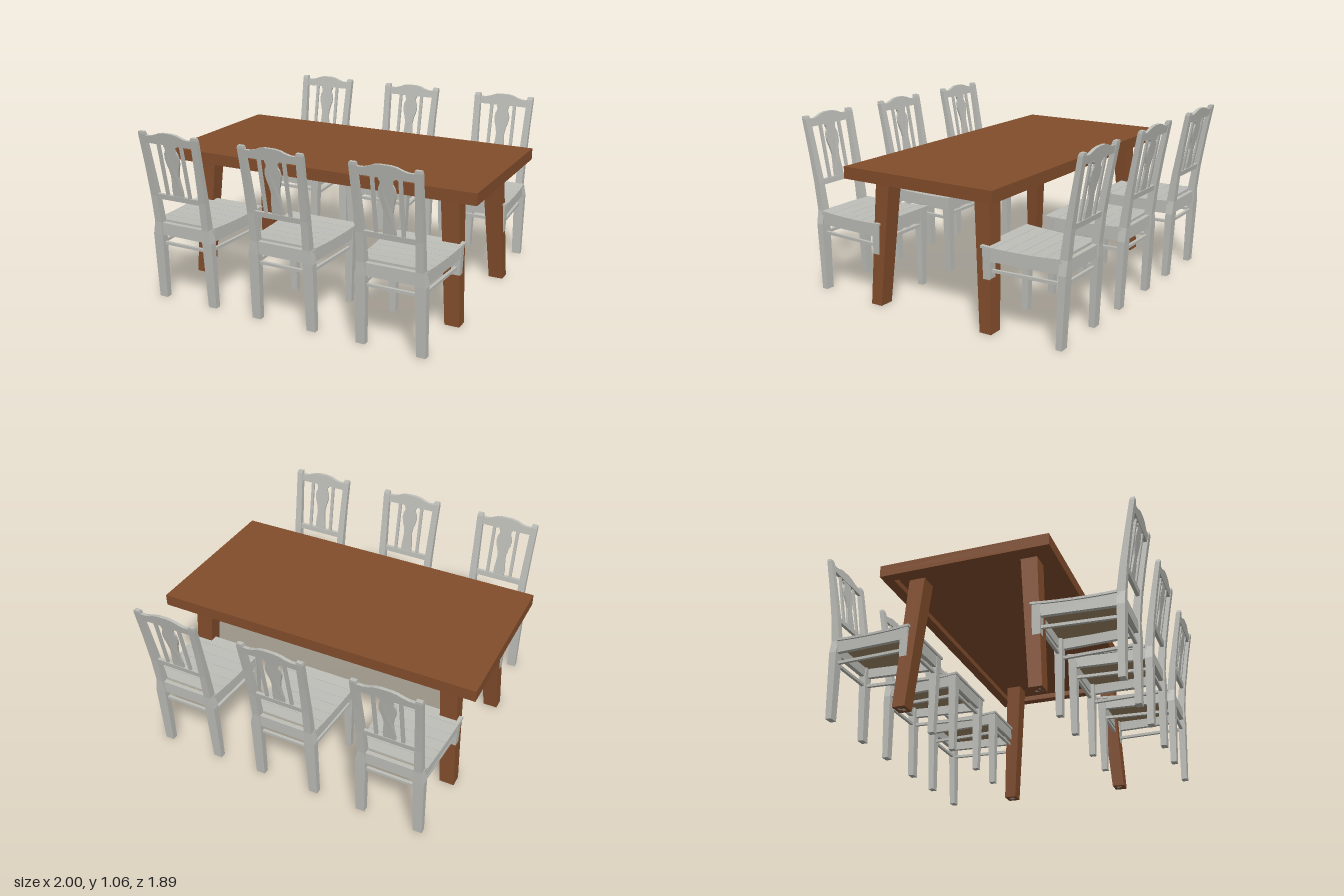
import * as THREE from 'three';

const wood = new THREE.MeshStandardMaterial({ name: 'brown wood', color: 0x824d2b });
const paint = new THREE.MeshStandardMaterial({ name: 'grey paint', color: 0xbdbeb8 });
const tan = new THREE.MeshStandardMaterial({ name: 'tan seat underside', color: 0xa08a66 });

function add(group, name, geometry, material) {
  const mesh = new THREE.Mesh(geometry, material);
  mesh.name = name;
  group.add(mesh);
  return mesh;
}

// Box from x0..x1, y0..y1, z0..z1
function box(x0, x1, y0, y1, z0, z1) {
  return new THREE.BoxGeometry(x1 - x0, y1 - y0, z1 - z0)
    .translate((x0 + x1) / 2, (y0 + y1) / 2, (z0 + z1) / 2);
}

// Square post through sections [y, x0, x1, z0, z1] from bottom to top
function post(sections, side = 1) {
  const n = sections.length - 1;
  const g = new THREE.BoxGeometry(1, 1, 1, 1, n, 1);
  const p = g.attributes.position;
  for (let i = 0; i < p.count; i++) {
    const [y, x0, x1, z0, z1] = sections[Math.round((p.getY(i) + 0.5) * n)];
    const [a, b] = side > 0 ? [x0, x1] : [-x1, -x0];
    p.setXYZ(i, p.getX(i) < 0 ? a : b, y, p.getZ(i) < 0 ? z0 : z1);
  }
  const flat = g.toNonIndexed();
  flat.computeVertexNormals();
  return flat;
}

// Centre line of the raked chair back
const rake = [[0.49, 0.84], [0.66, 0.863], [0.85, 0.895], [1.07, 0.936]];
function backZ(y) {
  let i = 0;
  while (i < rake.length - 2 && y > rake[i + 1][0]) i++;
  const [[y0, z0], [y1, z1]] = [rake[i], rake[i + 1]];
  return z0 + (z1 - z0) * (y - y0) / (y1 - y0);
}

// Flat panel of the chair back, leaned along the rake
function backPanel(shape, depth) {
  const g = new THREE.ExtrudeGeometry(shape, { depth, bevelEnabled: false, curveSegments: 6 });
  const p = g.attributes.position;
  for (let i = 0; i < p.count; i++) p.setZ(i, p.getZ(i) - depth / 2 + backZ(p.getY(i)));
  g.computeVertexNormals();
  return g;
}

function rect(x0, x1, y0, y1) {
  return new THREE.Shape([[x0, y0], [x1, y0], [x1, y1], [x0, y1]].map(a => new THREE.Vector2(...a)));
}

// Shape mirrored about x = 0 from a right-hand outline running upwards
function mirrored(points) {
  const right = points.map(([x, y]) => new THREE.Vector2(x, y));
  const left = points.map(([x, y]) => new THREE.Vector2(-x, y)).reverse();
  return new THREE.Shape([...right, ...left]);
}

const seatHalf = z => 0.232 - 0.027 * (z - 0.355) / 0.465;

function createChair() {
  const chair = new THREE.Group();
  for (const s of [1, -1]) {
    add(chair, 'rearLegAndPost', post([
      [0, 0.152, 0.207, 0.808, 0.844], [0.41, 0.142, 0.207, 0.818, 0.862],
      [0.49, 0.145, 0.19, 0.816, 0.864], [0.66, 0.148, 0.192, 0.842, 0.882],
      [0.85, 0.154, 0.195, 0.878, 0.911], [1.04, 0.16, 0.2, 0.915, 0.944],
      [1.056, 0.163, 0.197, 0.921, 0.945]], s), paint);
    add(chair, 'frontLeg', post([
      [0, 0.168, 0.207, 0.366, 0.402], [0.41, 0.168, 0.222, 0.362, 0.41],
      [0.485, 0.168, 0.224, 0.362, 0.41]], s), paint);
    // Side rails follow the tapering seat
    const rail = (y0, y1, inset, w) => post([y0, y1].map(y => [y, 0, 0, 0.39, 0.83])).applyMatrix4(new THREE.Matrix4())
      && slanted(y0, y1, inset, w, s);
    add(chair, 'sideApron', rail(0.41, 0.485, 0.01, 0.025), paint);
    add(chair, 'sideStretcher', rail(0.345, 0.362, 0.025, 0.018), paint);
    add(chair, 'backSlat', backPanel(rect(s * 0.078 - 0.01, s * 0.078 + 0.01, 0.66, 0.995), 0.012), paint);
  }
  add(chair, 'frontApron', box(-0.18, 0.18, 0.41, 0.485, 0.366, 0.39), paint);
  add(chair, 'backApron', box(-0.16, 0.16, 0.41, 0.485, 0.826, 0.854), paint);
  add(chair, 'frontStretcher', box(-0.18, 0.18, 0.372, 0.39, 0.375, 0.393), paint);
  add(chair, 'backStretcher', box(-0.16, 0.16, 0.345, 0.362, 0.825, 0.843), paint);

  // Seat planks with a shallow dip
  const planks = 6, z0 = 0.355, step = (0.82 - z0) / planks;
  const top = z => 0.488 + 0.008 * Math.pow((z - 0.59) / 0.23, 2);
  for (let i = 0; i < planks; i++) {
    const a = z0 + i * step, b = a + step - (i < planks - 1 ? 0.002 : 0);
    add(chair, 'seatPlank', plank(a, b, top), paint);
  }
  add(chair, 'seatUnderside', box(-0.185, 0.185, 0.468, 0.474, 0.39, 0.826), tan);

  // Back rails and vase-shaped splat
  add(chair, 'crestRail', backPanel(mirrored([[0.17, 0.99], [0.17, 1.035], [0.125, 1.035],
    [0.095, 1.043], [0.065, 1.055], [0.03, 1.061]]), 0.02), paint);
  add(chair, 'lowerBackRail', backPanel(rect(-0.155, 0.155, 0.64, 0.672), 0.02), paint);
  add(chair, 'backSplat', backPanel(mirrored([[0.036, 0.66], [0.036, 0.71], [0.03, 0.76], [0.027, 0.8],
    [0.034, 0.84], [0.045, 0.875], [0.05, 0.905], [0.046, 0.935], [0.036, 0.955], [0.036, 0.968],
    [0.042, 0.98], [0.042, 0.995]]), 0.012), paint);
  return chair;
}

// Bar running along the slanted side of the seat
function slanted(y0, y1, inset, width, side) {
  const g = box(-1, 1, y0, y1, 0.39, 0.83);
  const p = g.attributes.position;
  for (let i = 0; i < p.count; i++) {
    const outer = seatHalf(p.getZ(i)) - inset;
    const isOuter = p.getX(i) * side > 0;
    p.setX(i, side * (isOuter ? outer : outer - width));
  }
  g.computeVertexNormals();
  return g;
}

function plank(a, b, top) {
  const g = box(-1, 1, 0, 1, a, b);
  const p = g.attributes.position;
  for (let i = 0; i < p.count; i++) {
    const z = p.getZ(i);
    p.setX(i, p.getX(i) * seatHalf(z));
    p.setY(i, p.getY(i) > 0.5 ? top(z) : top(z) - 0.014);
  }
  g.computeVertexNormals();
  return g;
}

function createTable() {
  const table = new THREE.Group();
  add(table, 'tableTop', box(-1, 1, 0.8, 0.835, -0.5, 0.5), wood);
  // Rim around the recessed underside
  const rim = rect(-1, 1, -0.5, 0.5);
  rim.holes.push(rect(-0.94, 0.94, -0.44, 0.44));
  add(table, 'tableRim', new THREE.ExtrudeGeometry(rim, { depth: 0.035, bevelEnabled: false })
    .rotateX(-Math.PI / 2).translate(0, 0.765, 0), wood);
  // Splayed, tapering legs
  for (const s of [1, -1]) for (const front of [1, -1]) {
    const z = (a, b) => front > 0 ? [a, b] : [-b, -a];
    add(table, 'tableLeg', post([[0, 0.812, 0.902, ...z(0.348, 0.422)],
      [0.8, 0.748, 0.858, ...z(0.29, 0.386)]], s), wood);
  }
  return table;
}

export function createModel() {
  const model = new THREE.Group();
  model.name = 'diningSet';
  const table = createTable();
  table.name = 'table';
  model.add(table);
  // Three chairs along each long side
  for (const turn of [0, Math.PI]) for (const x of [-0.667, 0, 0.667]) {
    const chair = createChair();
    chair.name = 'chair';
    chair.position.x = x;
    chair.rotation.y = turn;
    model.add(chair);
  }
  return model;
}
